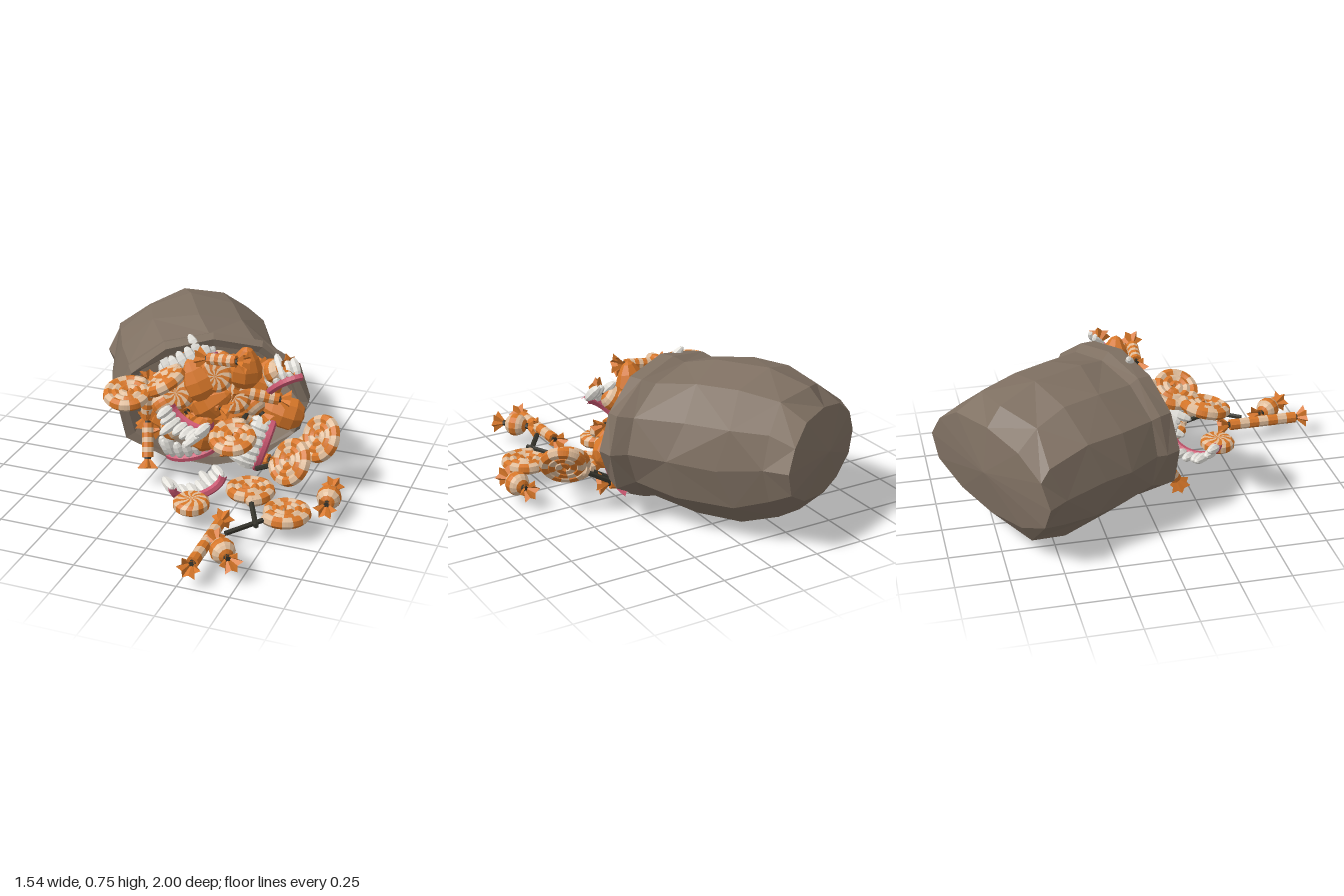
import * as THREE from 'three';

const mat = (name, color, side = THREE.FrontSide) => {
  const m = new THREE.MeshStandardMaterial({ color, side, flatShading: true });
  m.name = name;
  return m;
};
const sackMat = mat('sackcloth', 0x7f7062);
const orange = mat('orange candy', 0xd67628, THREE.DoubleSide);
const cream = mat('cream candy', 0xdfbc9a);
const white = mat('tooth white', 0xe2e0da);
const pink = mat('gum pink', 0xc8566f);
const dark = mat('dark stick', 0x35342c);

const V = (x, y, z) => new THREE.Vector3(x, y, z);
let seed = 7;
const rand = () => (seed = (seed * 16807) % 2147483647) / 2147483647;

const mesh = (name, geo, material) => {
  const m = new THREE.Mesh(geo, material);
  m.name = name;
  return m;
};
// Point in the pile: x and y as seen from the front, off = distance before the mouth
const at = (x, y, off) => [x, y, -0.08 - 0.41 * x + off];
// Turn local +y to up and local +z as near as possible to front
function place(obj, pos, up, front = [0.38, 0.05, 0.92]) {
  const y = V(...up).normalize(), z = V(...front);
  z.addScaledVector(y, -z.dot(y)).normalize();
  obj.quaternion.setFromRotationMatrix(new THREE.Matrix4().makeBasis(V().crossVectors(y, z), y, z));
  obj.position.set(...pos);
  return obj;
}

// Sack: rings of centre x, y, z, half width, half height, width direction x, z and roll
function sack() {
  const rings = [
    [-0.42, 0.395, -0.78, 0.41, 0.22, 0.84, -0.54, 0.045], [-0.37, 0.385, -0.69, 0.39, 0.315, 0.85, -0.52, 0.035],
    [-0.27, 0.38, -0.52, 0.42, 0.375, 0.87, -0.5, 0], [-0.16, 0.38, -0.33, 0.44, 0.365, 0.89, -0.45, 0],
    [-0.04, 0.385, -0.17, 0.445, 0.325, 0.92, -0.39, 0], [0, 0.385, -0.13, 0.485, 0.35, 0.92, -0.38, 0],
    [0.025, 0.385, -0.06, 0.475, 0.345, 0.92, -0.38, 0], [0.02, 0.385, -0.07, 0.43, 0.305, 0.92, -0.38, 0],
    [-0.08, 0.385, -0.28, 0.38, 0.28, 0.9, -0.42, 0]];
  const N = 12, pos = [], idx = [];
  rings.forEach(([cx, cy, cz, w, h, ux, uz, roll], i) => {
    for (let j = 0; j < N; j++) {
      const t = (j / N) * Math.PI * 2;
      const k = j % 6 === 0 || j % 6 === 3 ? 1 : 0.97 + rand() * 0.09;
      const c = Math.cos(t) * w * k, along = i > 0 && i < 4 ? (rand() - 0.5) * 0.1 : 0;
      pos.push(cx + ux * c + along * 0.5, cy + Math.sin(t) * h * k + Math.cos(t) * roll, cz + uz * c + along * 0.85);
    }
  });
  for (let i = 0; i < rings.length - 1; i++) for (let j = 0; j < N; j++) {
    const a = i * N + j, b = i * N + (j + 1) % N;
    if ((i + j) % 2) idx.push(a, b, b + N, a, b + N, a + N);
    else idx.push(a, b, a + N, b, b + N, a + N);
  }
  // Bottom and inner back
  pos.push(-0.44, 0.4, -0.81, -0.08, 0.385, -0.28);
  const c = rings.length * N, last = c - N;
  for (let j = 0; j < N; j++) {
    const k = (j + 1) % N;
    idx.push(c, k, j, c + 1, last + j, last + k);
  }
  const g = new THREE.BufferGeometry();
  g.setAttribute('position', new THREE.Float32BufferAttribute(pos, 3));
  g.setIndex(idx);
  g.computeVertexNormals();
  return mesh('sack', g, sackMat);
}

// Give every run of indices its own colour, following pick(i)
function stripe(geo, runs, pick) {
  geo.clearGroups();
  const n = geo.index.count / runs;
  for (let i = 0; i < runs; i++) geo.addGroup(i * n, n, pick(i));
  return geo;
}

// Spiral lollipop lying in local xz, stick towards +z
const coilPts = [];
for (let i = 0; i <= 60; i++) {
  const f = i / 60, t = Math.PI * 0.5 - (1 - f) * Math.PI * 6, r = 0.008 + 0.1 * f;
  coilPts.push(V(Math.cos(t) * r, 0, Math.sin(t) * r));
}
const coilGeo = stripe(new THREE.TubeGeometry(new THREE.CatmullRomCurve3(coilPts), 104, 0.028, 7), 104, i => (i >> 2) % 2);
function lollipop(stick) {
  const g = new THREE.Group();
  g.name = 'lollipop';
  g.add(mesh('spiralCoil', coilGeo, [orange, cream]));
  const end = mesh('coilEnd', new THREE.SphereGeometry(0.028, 7, 5), cream);
  end.position.copy(coilPts[60]);
  g.add(end);
  if (stick) {
    const s = mesh('stick', new THREE.CylinderGeometry(0.013, 0.013, stick, 6), dark);
    s.rotation.x = Math.PI / 2;
    s.position.z = 0.1 + stick / 2;
    g.add(s);
  }
  return g;
}

// Swirled mint, sectors twisted more towards the middle
const mintProfile = [[0, -0.033], [0.035, -0.033], [0.07, -0.029], [0.086, -0.014], [0.086, 0.014], [0.07, 0.029], [0.035, 0.033], [0, 0.033]];
const mintGeo = stripe(new THREE.LatheGeometry(mintProfile.map(p => new THREE.Vector2(...p)), 36), 36, i => (i % 4 < 2 ? 0 : 1));
const mp = mintGeo.attributes.position;
for (let i = 0; i < mp.count; i++) {
  const v = V().fromBufferAttribute(mp, i);
  v.applyAxisAngle(V(0, 1, 0), (0.09 - Math.hypot(v.x, v.z)) * 8);
  mp.setXYZ(i, v.x, v.y, v.z);
}
const mint = () => mesh('swirlMint', mintGeo, [cream, orange]);

// Pleated wrapper end
const fanGeo = new THREE.CylinderGeometry(0.058, 0.012, 0.05, 12, 2, true);
const fp = fanGeo.attributes.position;
for (let i = 0; i < fp.count; i++) if (i % 13 % 2) {
  fp.setXYZ(i, fp.getX(i) * 0.6, fp.getY(i), fp.getZ(i) * 0.6);
}
function addEnds(g, h) {
  for (const s of [1, -1]) {
    const fan = mesh('wrapperEnd', fanGeo, orange);
    fan.position.y = s * (h + 0.03);
    if (s < 0) fan.rotation.x = Math.PI;
    const knot = mesh('wrapperKnot', new THREE.CylinderGeometry(0.016, 0.016, 0.014, 7), dark);
    knot.position.y = s * (h + 0.004);
    g.add(fan, knot);
  }
  return g;
}
function ballCandy() {
  const g = new THREE.Group();
  g.name = 'wrappedBall';
  for (let i = 0; i < 5; i++) {
    g.add(mesh('ballBand', new THREE.SphereGeometry(0.06, 12, 2, 0, Math.PI * 2, i * Math.PI / 5, Math.PI / 5), i % 2 ? cream : orange));
  }
  return addEnds(g, 0.062);
}
function rollCandy(len = 0.36) {
  const g = new THREE.Group(), n = 7;
  g.name = 'wrappedRoll';
  for (let i = 0; i < n; i++) {
    const b = mesh('rollBand', new THREE.CylinderGeometry(0.029, 0.029, len / n, 9), i % 2 ? cream : orange);
    b.position.y = (i - (n - 1) / 2) * len / n;
    g.add(b);
  }
  return addEnds(g, len / 2);
}

// Toy fangs: shallow gum arch in xz with plump teeth along +y
const toothGeo = new THREE.SphereGeometry(1, 7, 6);
function fangs() {
  const g = new THREE.Group();
  g.name = 'toyFangs';
  const arch = t => V(Math.cos(t) * 0.135, 0, Math.sin(t) * 0.09 - 0.055);
  const pts = [];
  for (let i = 0; i <= 12; i++) pts.push(arch(i / 12 * Math.PI));
  g.add(mesh('gum', new THREE.TubeGeometry(new THREE.CatmullRomCurve3(pts), 20, 0.02, 6), pink));
  for (let i = 0; i < 9; i++) {
    const h = i === 2 || i === 6 ? 0.15 : 0.105;
    const tooth = mesh('tooth', toothGeo, white);
    tooth.scale.set(0.026, h / 2, 0.024);
    tooth.position.copy(arch((i + 0.5) / 9 * Math.PI)).setY(h / 2);
    g.add(tooth);
  }
  return g;
}

// Chunky plain sweet, narrower to the top
const chunkGeo = new THREE.SphereGeometry(0.085, 8, 6);
const cp = chunkGeo.attributes.position;
for (let i = 0; i < cp.count; i++) {
  const y = cp.getY(i), k = 1 - y * 4;
  cp.setXYZ(i, cp.getX(i) * k, y * 1.35, cp.getZ(i) * k * 0.8);
}
const chunk = () => mesh('orangeChunk', chunkGeo, orange);

export function createModel() {
  const root = new THREE.Group();
  root.name = 'spilledCandySack';
  root.add(sack());
  const put = (...a) => root.add(place(...a));

  // Lollipops: position, normal, stick direction, stick length
  for (const [p, n, d, s] of [
    [[-0.28, 0.535, 0.28], [0.05, 1, 0.22], [0.3, 0, -1], 0], [[-0.14, 0.575, 0.16], [-0.45, 0.85, 0.1], [0.3, 0, -1], 0],
    [[0.2, 0.31, 0.12], [0, 1, 0.3], [0, 0, -1], 0.1], [[0.32, 0.11, 0.24], [0, 1, 0], [0.42, 0, 0.9], 0.24],
    [[0.55, 0.11, 0.38], [0, 1, 0], [-0.57, 0, 0.82], 0.24], [[0.47, 0.21, 0.06], [-0.5, 0.55, 0.85], [-1, -0.6, -0.3], 0.12],
    [[0.57, 0.285, -0.09], [-0.5, 0.55, 0.85], [-1, -0.6, -0.3], 0.15]]) put(lollipop(s), p, n, d);

  // Spilled sweets on the ground
  put(mint(), [0.11, 0.11, 0.46], [0, 1, 0.05]);
  put(ballCandy(), [0.7, 0.11, 0.17], [0.12, 0, 1], [1, 0, 0]);
  put(ballCandy(), [0.4, 0.12, 0.82], [0.64, 0, 0.77], [1, 0, 0]);
  put(rollCandy(), [0.3, 0.105, 0.76], [0.02, 0, 1], [1, 0, 0]);

  // Toy fangs: position, tooth direction, arch front
  for (const [p, up, f] of [
    [[0.09, 0.11, 0.33], [-0.7, 0.15, -0.65], [0, -1, 0]], [[-0.01, 0.37, 0.13], [-0.4, -0.3, 0.85], [0, -1, 0]],
    [[-0.07, 0.12, 0.0], [-0.2, 0.95, 0.25], [0.2, 0, 1]], [[-0.08, 0.575, -0.01], [-0.5, 0.62, -0.2], [0.3, 0, 1]],
    [[0.345, 0.5, -0.11], [-0.4, 0.6, -0.4], [-0.6, 0.1, 0.8]], [[0.29, 0.18, -0.05], [-0.9, 0.3, 0.2], [0.2, -0.1, 1]]]) put(fangs(), p, up, f);

  // Mints, chunks, balls and rolls in the sack mouth: x, y, off, direction
  for (const [x, y, o, d] of [[0.06, 0.57, 0.1, [0.2, 0.2, 1]], [0.14, 0.45, 0.09, [0.2, 0.3, 1]],
    [-0.12, 0.47, 0.07, [-0.1, 0.2, 1]]]) put(mint(), at(x, y, o), d, [0, -1, 0]);
  for (const [x, y, o, d] of [[0.19, 0.61, 0.1, [0.1, 1, 0.1]], [0.35, 0.35, 0.06, [-0.9, 0.3, 0.3]], [0.14, 0.24, 0.1, [-0.5, 0.8, 0.2]],
    [0, 0.26, 0.09, [0.3, 1, 0.2]], [-0.03, 0.54, 0.08, [-0.5, 1, 0]], [0.1, 0.34, 0.05, [1, 0.3, 0.2]],
    [-0.2, 0.32, -0.02, [0.4, 1, 0]], [0.27, 0.52, 0.03, [0.3, 1, 0]], [0.04, 0.42, 0.09, [0.7, 0.5, 0]]]) put(chunk(), at(x, y, o), d);
  for (const [x, y, o, d] of [[0.32, 0.58, 0.09, [0.8, 0.6, 0.3]], [-0.2, 0.39, 0.04, [0.6, -0.6, 0.3]], [-0.15, 0.27, 0.07, [0.9, 0.3, 0.3]],
    [0.22, 0.4, 0.07, [0.7, -0.6, 0.2]]]) put(ballCandy(), at(x, y, o), d);
  for (const [x, y, o, d, l] of [[0.1, 0.665, 0.14, [1, 0.1, 0.1], 0.15], [0.27, 0.46, 0.11, [1, -0.2, -0.3], 0.17],
    [-0.28, 0.4, 0.02, [0.1, 1, 0], 0.18], [-0.26, 0.21, 0.08, [-0.2, 0.9, -0.5], 0.17], [0.0, 0.44, 0.1, [1, -0.3, 0], 0.18],
    [0.22, 0.11, 0.08, [1, 0.1, 0.2], 0.2]]) put(rollCandy(l), at(x, y, o), d);

  // Filling behind the visible sweets
  for (let i = 0; i < 32; i++) {
    const a = i * 2.4, r = Math.sqrt((i + 0.5) / 32);
    const item = i % 3 === 0 ? ballCandy() : i % 6 === 1 ? mint() : chunk();
    put(item, at(0.02 + Math.cos(a) * r * 0.26, 0.385 + Math.sin(a) * r * 0.19, -0.06 - rand() * 0.04),
      [rand() - 0.5, rand() - 0.5, 0.3 + rand()], [0.2, 1, 0]);
  }
  return root;
}
